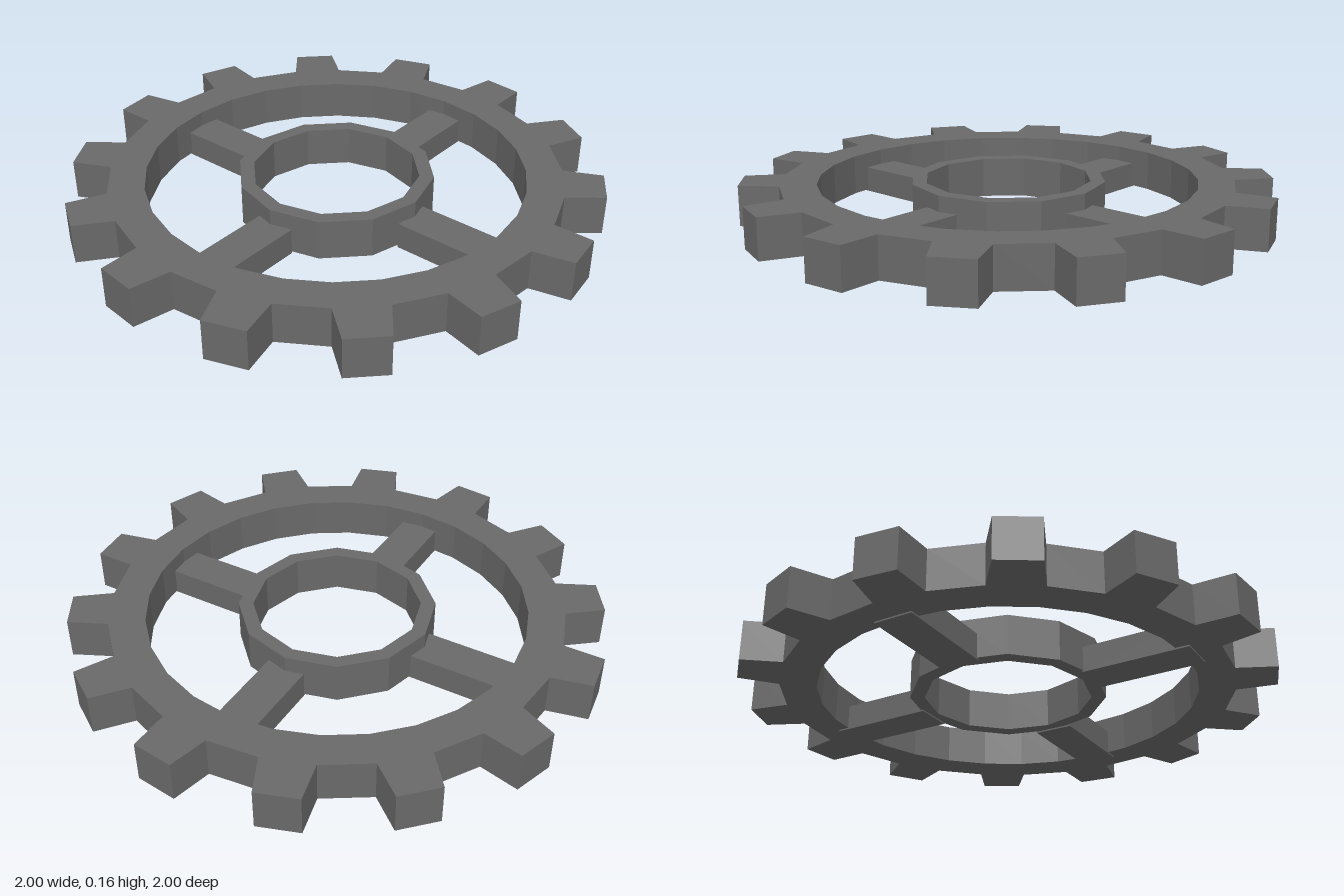
import * as THREE from 'three';

const BOTTOM = 0.006, TOP = 0.16;
const TEETH = 14;
const STEP = Math.PI / TEETH; // each tooth and each gap spans one step

const material = new THREE.MeshStandardMaterial({ color: 0x696969, flatShading: true });

// Point at radius r, angle a measured clockwise from the back (-z)
const polar = (r, a) => new THREE.Vector2(r * Math.sin(a), r * Math.cos(a));

const polygon = (r, sides) =>
  Array.from({ length: sides }, (_, i) => polar(r, (i / sides) * Math.PI * 2));

// Flat plate with a polygonal hole; the hole runs the other way round so its wall faces inward
function ringPlate(name, outline, hole) {
  const shape = new THREE.Shape(outline);
  shape.holes.push(new THREE.Path(hole.reverse()));
  const geometry = new THREE.ExtrudeGeometry(shape, { depth: TOP - BOTTOM, bevelEnabled: false });
  geometry.rotateX(-Math.PI / 2).translate(0, BOTTOM, 0);
  const mesh = new THREE.Mesh(geometry, material);
  mesh.name = name;
  return mesh;
}

export function createModel() {
  const gear = new THREE.Group();
  gear.name = 'gearWheel';

  // Toothed rim: slightly tapered teeth on a 28-sided ring
  const outline = [];
  for (let i = 0; i < TEETH; i++) {
    const a = i * 2 * STEP;
    outline.push(
      polar(0.85, a),
      polar(1.0, a + 0.15 * STEP),
      polar(1.0, a + 0.85 * STEP),
      polar(0.85, a + STEP)
    );
  }
  gear.add(ringPlate('toothedRim', outline, polygon(0.714, TEETH * 2)));

  // Twelve-sided hub ring
  gear.add(ringPlate('hub', polygon(0.37, 12), polygon(0.315, 12)));

  // Four low spokes, set a hair off centre and just below the rim's underside
  const spokes = new THREE.Group();
  spokes.name = 'spokes';
  spokes.position.set(0.008, 0, 0.003);
  const spokeGeometry = new THREE.BoxGeometry(0.408, 0.1, 0.15).translate(0.55, 0.05, 0);
  for (let i = 0; i < 4; i++) {
    const spoke = new THREE.Mesh(spokeGeometry, material);
    spoke.name = 'spoke' + (i + 1);
    spoke.rotation.y = (i * Math.PI) / 2;
    spokes.add(spoke);
  }
  gear.add(spokes);

  return gear;
}
